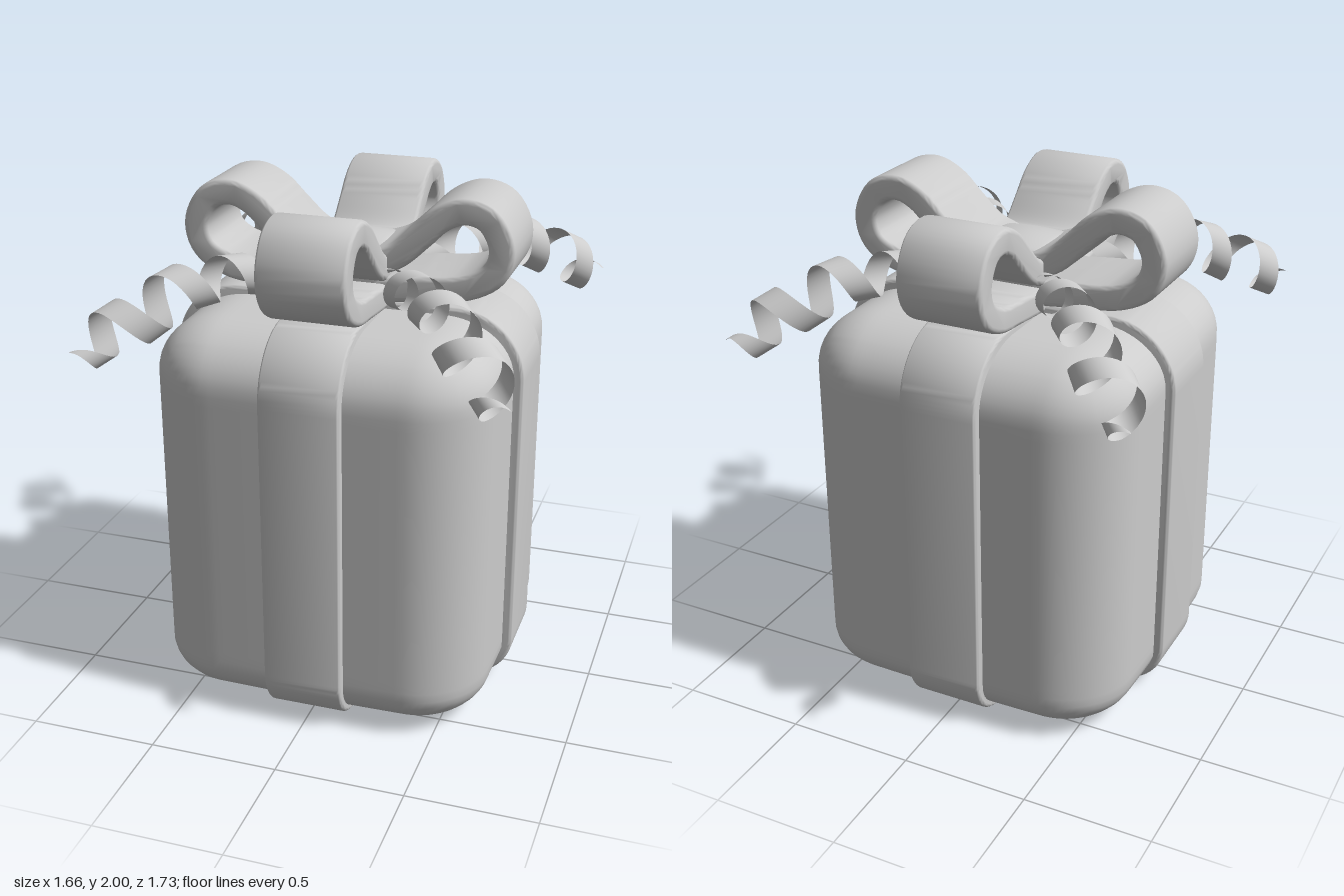
import * as THREE from 'three';
import { mergeVertices, toCreasedNormals } from 'three/addons/utils/BufferGeometryUtils.js';

const HALF = 0.648, TOP = 1.55;

// Rounded block: a fine box whose edges are pulled onto rounded corners, with swollen walls
function softBlock(w, h, d, r, rTop, rBottom, swellSide, swellTop) {
  let geo = new THREE.BoxGeometry(w, h, d, 40, 40, 40);
  geo.translate(0, h / 2, 0);
  geo.deleteAttribute('normal');
  geo.deleteAttribute('uv');
  geo = mergeVertices(geo);
  const p = geo.attributes.position;
  const ix = w / 2 - r, iz = d / 2 - r;
  for (let i = 0; i < p.count; i++) {
    const x = p.getX(i), y = p.getY(i), z = p.getZ(i);
    const cx = THREE.MathUtils.clamp(x, -ix, ix);
    const cy = THREE.MathUtils.clamp(y, rBottom, h - rTop);
    const cz = THREE.MathUtils.clamp(z, -iz, iz);
    const ry = y > h / 2 ? rTop : rBottom;
    const n = new THREE.Vector3((x - cx) / r, (y - cy) / ry, (z - cz) / r).normalize();
    const nx = cx + n.x * r, ny = cy + n.y * ry, nz = cz + n.z * r;
    const fx = 1 - (2 * nx / w) ** 2, fz = 1 - (2 * nz / d) ** 2;
    p.setXYZ(i, nx * (1 + swellSide * fz), ny + swellTop * fx * fz * (ny / h), nz * (1 + swellSide * fx));
  }
  geo.computeVertexNormals();
  return geo;
}

// Extrudes a flat outline to a ribbon of the given width with soft edges
function ribbonExtrude(shape, width, bevel) {
  const geo = new THREE.ExtrudeGeometry(shape, {
    depth: width - 2 * bevel, bevelEnabled: true, bevelSize: bevel,
    bevelThickness: bevel, bevelSegments: 4, curveSegments: 12,
  });
  geo.translate(0, 0, -(width - 2 * bevel) / 2);
  return toCreasedNormals(geo, 0.8);
}

// Outline of the band that wraps the box
function bandShape() {
  const w = 0.687, b = 0.02, t = 1.565, rt = 0.25, rb = 0.18;
  const s = new THREE.Shape();
  s.moveTo(-w + rb, b);
  s.lineTo(w - rb, b);
  s.absarc(w - rb, b + rb, rb, -Math.PI / 2, 0);
  s.lineTo(w, t - rt);
  s.absarc(w - rt, t - rt, rt, 0, Math.PI / 2);
  s.lineTo(-w + rt, t);
  s.absarc(-w + rt, t - rt, rt, Math.PI / 2, Math.PI);
  s.lineTo(-w, b + rb);
  s.absarc(-w + rb, b + rb, rb, Math.PI, Math.PI * 1.5);
  return s;
}

// Outline of one bow loop: a centreline offset to both sides
function loopShape(thickness) {
  const path = new THREE.SplineCurve([
    [0.1, 1.72], [0.2, 1.76], [0.29, 1.84], [0.37, 1.915], [0.46, 1.95], [0.55, 1.92],
    [0.6, 1.82], [0.57, 1.72], [0.46, 1.66], [0.29, 1.64], [0.1, 1.62],
  ].map(([x, y]) => new THREE.Vector2(x, y)));
  const outer = [], inside = [], n = 56;
  for (let i = 0; i <= n; i++) {
    const c = path.getPoint(i / n), t = path.getTangent(i / n);
    const side = new THREE.Vector2(-t.y, t.x).multiplyScalar(thickness / 2);
    outer.push(c.clone().add(side));
    inside.unshift(c.clone().sub(side));
  }
  return new THREE.Shape([...outer, ...inside]);
}

// Curled streamer: a thin strip wound round a drooping axis
function curlGeometry(tipX, tipZ, phase, hand) {
  const reach = Math.hypot(tipX, tipZ);
  const dir = new THREE.Vector3(tipX / reach, 0, tipZ / reach);
  const axis = new THREE.CatmullRomCurve3([
    [0.25, 1.65], [0.48, 1.69], [0.72, 1.67], [0.95, 1.56], [reach, 1.47],
  ].map(([s, y]) => dir.clone().multiplyScalar(s).setY(y)));
  const across = new THREE.Vector3(-dir.z, 0, dir.x);
  const geo = new THREE.PlaneGeometry(1, 1, 140, 2);
  const p = geo.attributes.position;
  for (let i = 0; i < p.count; i++) {
    const u = p.getX(i) + 0.5, v = p.getY(i);
    const c = axis.getPoint(u), t = axis.getTangent(u);
    const up = new THREE.Vector3().crossVectors(across, t).normalize();
    if (up.y < 0) up.negate();
    const tail = THREE.MathUtils.smoothstep(u, 0.8, 1);
    const radius = (0.065 + 0.04 * Math.min(1, u * 1.4)) * (1 - 0.7 * tail);
    const width = 0.095 * Math.min(1, 0.3 + u * 8, 0.1 + (1 - u) * 7);
    const a = phase + hand * u * Math.PI * 2 * 4.2;
    c.addScaledVector(across, Math.cos(a) * radius)
      .addScaledVector(up, Math.sin(a) * radius)
      .addScaledVector(t, v * width);
    p.setXYZ(i, c.x, c.y, c.z);
  }
  geo.computeVertexNormals();
  return geo;
}

export function createModel() {
  const model = new THREE.Group();
  model.name = 'giftBox';
  const grey = new THREE.MeshStandardMaterial({ color: 0xcccccc, side: THREE.DoubleSide });
  grey.name = 'plain grey';
  const add = (name, geo) => {
    const mesh = new THREE.Mesh(geo, grey);
    mesh.name = name;
    model.add(mesh);
    return mesh;
  };

  add('box', softBlock(2 * HALF, TOP, 2 * HALF, 0.27, 0.22, 0.17, 0.025, 0));

  // Two crossing bands
  const band = ribbonExtrude(bandShape(), 0.31, 0.015);
  add('bandAcross', band);
  add('bandFrontToBack', band).rotation.y = Math.PI / 2;

  // Bow: four loops round a soft domed knot
  const loop = ribbonExtrude(loopShape(0.06), 0.34, 0.02);
  ['leftLoop', 'backLoop', 'rightLoop', 'frontLoop'].forEach((name, i) => {
    const mesh = add(name, loop);
    mesh.rotation.y = i * Math.PI / 2;
    mesh.position.y = i % 2 ? -0.025 : 0;
    if (i % 2) mesh.position.z = i === 1 ? -0.02 : 0.01;
  });
  add('knot', softBlock(0.34, 0.21, 0.34, 0.05, 0.06, 0.05, 0, 0.03)).position.y = 1.56;

  // Curled streamers at the four corners
  [
    ['backRightCurl', -0.8, -0.85, 0.4, 1], ['backLeftCurl', 0.81, -0.79, 2.2, -1],
    ['frontLeftCurl', 0.78, 0.85, 0.9, 1], ['frontRightCurl', -0.81, 0.81, 2.8, -1],
  ].forEach(([name, x, z, phase, hand]) => add(name, curlGeometry(x, z, phase, hand)));

  return model;
}
